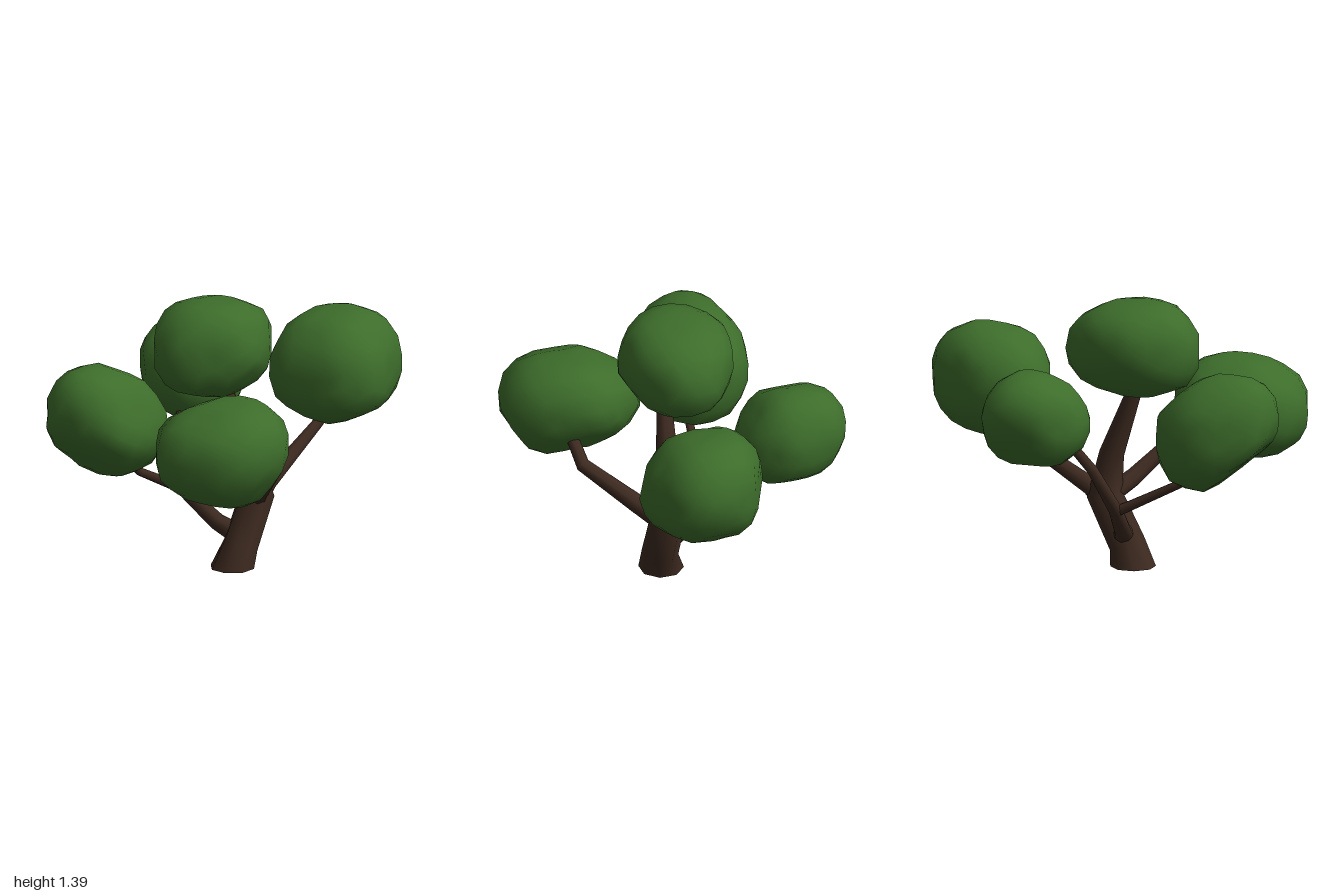
import * as THREE from 'three';
import { mergeVertices } from 'three/addons/utils/BufferGeometryUtils.js';

const V = (x, y, z) => new THREE.Vector3(x, y, z);

// Tapered limb: rings of 8 around a path of [x, y, z, radius], closed at both ends
function limbGeometry(path, levelBase = false) {
  const sides = 8, pos = [], index = [];
  const pts = path.map(([x, y, z]) => V(x, y, z));
  pts.forEach((p, i) => {
    const before = pts[Math.max(i - 1, 0)], after = pts[Math.min(i + 1, pts.length - 1)];
    const t = levelBase && i === 0 ? V(0, 1, 0) : after.clone().sub(before).normalize();
    const u = t.clone().cross(V(0, 0, 1)).normalize();
    const v = t.clone().cross(u);
    for (let s = 0; s < sides; s++) {
      const a = (s + 0.5) / sides * Math.PI * 2;
      const q = p.clone().addScaledVector(u, Math.cos(a) * path[i][3]).addScaledVector(v, Math.sin(a) * path[i][3]);
      pos.push(q.x, q.y, q.z);
    }
  });
  for (let i = 0; i < pts.length - 1; i++) {
    for (let s = 0; s < sides; s++) {
      const a = i * sides + s, b = i * sides + (s + 1) % sides;
      index.push(a, b, a + sides, b, b + sides, a + sides);
    }
  }
  // end caps with their own vertices so the rims stay sharp
  [0, pts.length - 1].forEach((ring, end) => {
    const start = pos.length / 3;
    pos.push(...pos.slice(ring * sides * 3, (ring + 1) * sides * 3));
    for (let s = 1; s < sides - 1; s++) {
      if (end) index.push(start, start + s, start + s + 1);
      else index.push(start, start + s + 1, start + s);
    }
  });
  const g = new THREE.BufferGeometry();
  g.setAttribute('position', new THREE.Float32BufferAttribute(pos, 3));
  g.setIndex(index);
  g.computeVertexNormals();
  return g;
}

// Middle of the outline's points along one of its two axes
function middle(outline, axis) {
  const values = outline.map(p => p[axis]);
  return (Math.min(...values) + Math.max(...values)) / 2;
}

// Distance from (ca, cb) to a convex outline, along the direction (da, db)
function reach(outline, ca, cb, da, db) {
  let r = Infinity;
  outline.forEach(([a, b], i) => {
    const [a2, b2] = outline[(i + 1) % outline.length];
    let na = b2 - b, nb = a - a2, d = na * (a - ca) + nb * (b - cb);
    if (d < 0) { na = -na; nb = -nb; d = -d; }
    const along = na * da + nb * db;
    if (along > 1e-6) r = Math.min(r, d / along);
  });
  return r;
}

// Leaf clump: a ball whose radius blends three outlines, front (x, y), side (z, y) and top (x, z)
function clumpGeometry(front, side, top) {
  const c = V(middle(front, 0), middle(front, 1), middle(side, 0));
  let g = new THREE.IcosahedronGeometry(1, 3);
  g.deleteAttribute('normal');
  g.deleteAttribute('uv');
  g = mergeVertices(g, 1e-4);
  const p = g.attributes.position;
  for (let i = 0; i < p.count; i++) {
    const n = V().fromBufferAttribute(p, i);
    const radii = [
      reach(front, c.x, c.y, n.x, n.y),
      reach(side, c.z, c.y, n.z, n.y),
      reach(top, c.x, c.z, n.x, n.z),
    ];
    const blend = (radii.reduce((sum, r) => sum + r ** -2.5, 0) / 2) ** (-1 / 2.5);
    n.multiplyScalar(Math.min(...radii, blend)).add(c);
    p.setXYZ(i, n.x, n.y, n.z);
  }
  g.computeVertexNormals();
  return g;
}

export function createModel() {
  const tree = new THREE.Group();
  tree.name = 'tree';
  const bark = new THREE.MeshStandardMaterial({ color: 0x3d2a20 });
  bark.name = 'bark brown';
  const leaf = new THREE.MeshStandardMaterial({ color: 0x3d6d2b });
  leaf.name = 'leaf green';

  const add = (name, geometry, material) => {
    const mesh = new THREE.Mesh(geometry, material);
    mesh.name = name;
    tree.add(mesh);
  };
  const addLimb = (name, path, levelBase) => add(name, limbGeometry(path, levelBase), bark);
  const addClump = (name, front, side, top) => add(name, clumpGeometry(front, side, top), leaf);

  // Trunk and branches
  addLimb('trunk', [
    [-0.1, 0, 0.075, 0.114], [-0.06, 0.11, 0.095, 0.092], [0.06, 0.35, 0.1, 0.09],
    [0.015, 0.57, 0.08, 0.063], [-0.12, 0.92, 0.05, 0.038], [-0.14, 1.0, 0.04, 0.034],
  ], true);
  addLimb('leftBranch', [[0.03, 0.31, 0.1, 0.062], [0.14, 0.39, 0.1, 0.046], [0.5, 0.605, 0.1, 0.03], [0.62, 0.7, 0.11, 0.028]]);
  addLimb('frontBranch', [[0.06, 0.33, 0.09, 0.055], [-0.05, 0.42, 0.22, 0.047], [-0.21, 0.6, 0.45, 0.036], [-0.4, 0.71, 0.46, 0.03]]);
  addLimb('backBranch', [[-0.045, 0.15, 0.09, 0.055], [-0.085, 0.21, -0.04, 0.044], [-0.125, 0.36, -0.25, 0.035],
    [-0.04, 0.58, -0.35, 0.027], [0.06, 0.72, -0.4, 0.024]]);
  addLimb('backSideBranch', [[-0.11, 0.35, -0.24, 0.03], [-0.18, 0.38, -0.24, 0.027], [-0.47, 0.525, -0.215, 0.022], [-0.55, 0.6, -0.22, 0.02]]);

  // Leaf clumps
  addClump('topClump',
    [[-0.49, 1.09], [-0.47, 1.23], [-0.34, 1.38], [-0.18, 1.39], [0, 1.37], [0.12, 1.31], [0.21, 1.2], [0.2, 1.06], [0.1, 0.95], [-0.19, 0.89], [-0.42, 0.97]],
    [[0.29, 1.13], [0.21, 1.33], [0.13, 1.38], [0, 1.395], [-0.11, 1.39], [-0.28, 1.32], [-0.32, 1.15], [-0.2, 0.97], [-0.05, 0.89], [0.15, 0.93]],
    [[-0.49, 0], [-0.44, -0.15], [-0.21, -0.32], [0, -0.28], [0.21, -0.1], [0.2, 0.07], [0.03, 0.22], [-0.14, 0.29], [-0.24, 0.26], [-0.45, 0.07]]);
  addClump('frontClump',
    [[-0.92, 0.8], [-0.85, 0.92], [-0.64, 1.02], [-0.39, 1.045], [-0.25, 0.99], [-0.21, 0.81], [-0.28, 0.72], [-0.46, 0.54], [-0.58, 0.51], [-0.79, 0.57], [-0.87, 0.64]],
    [[0.78, 0.79], [0.71, 0.95], [0.59, 1.03], [0.46, 1.05], [0.3, 1.02], [0.08, 0.9], [0.02, 0.75], [0.16, 0.6], [0.36, 0.53], [0.6, 0.51]],
    [[-0.92, 0.38], [-0.83, 0.2], [-0.53, 0.02], [-0.4, 0.07], [-0.21, 0.34], [-0.24, 0.43], [-0.34, 0.67], [-0.49, 0.77], [-0.72, 0.73], [-0.83, 0.61]]);
  addClump('backSideClump',
    [[-1, 0.88], [-0.97, 1.07], [-0.86, 1.135], [-0.65, 1.115], [-0.54, 1.05], [-0.38, 0.9], [-0.36, 0.7], [-0.4, 0.56], [-0.45, 0.52], [-0.64, 0.51], [-0.91, 0.74]],
    [[0.03, 0.8], [0, 0.7], [-0.1, 0.59], [-0.26, 0.51], [-0.4, 0.525], [-0.5, 0.59], [-0.57, 0.75], [-0.54, 0.95], [-0.43, 1.08], [-0.31, 1.13], [-0.1, 1.05]],
    [[-1, -0.28], [-0.93, -0.44], [-0.68, -0.575], [-0.49, -0.53], [-0.4, -0.43], [-0.36, -0.21], [-0.45, -0.02], [-0.64, 0.03], [-0.86, 0.01], [-0.96, -0.16]]);
  addClump('backClump',
    [[-0.05, 0.85], [0.02, 1], [0.19, 1.09], [0.29, 1.11], [0.42, 1.03], [0.49, 0.88], [0.45, 0.7], [0.27, 0.59], [0.12, 0.6], [-0.02, 0.72]],
    [[-0.2, 0.78], [-0.21, 0.71], [-0.29, 0.605], [-0.36, 0.59], [-0.62, 0.65], [-0.71, 0.77], [-0.78, 0.945], [-0.7, 1.07], [-0.55, 1.115], [-0.39, 1.09], [-0.25, 0.91]],
    [[-0.05, -0.37], [-0.04, -0.55], [0.11, -0.735], [0.34, -0.78], [0.43, -0.71], [0.49, -0.435], [0.37, -0.265], [0.16, -0.195], [0, -0.32]]);
  addClump('leftClump',
    [[0.33, 0.83], [0.36, 0.99], [0.5, 1.14], [0.75, 1.19], [0.92, 1.11], [1, 0.95], [0.92, 0.76], [0.81, 0.66], [0.58, 0.59], [0.36, 0.7]],
    [[0.44, 0.84], [0.4, 0.99], [0.26, 1.16], [0.08, 1.195], [-0.07, 1.17], [-0.17, 1.05], [-0.2, 0.88], [-0.15, 0.73], [-0.06, 0.65], [0.14, 0.59], [0.4, 0.72]],
    [[0.33, 0.04], [0.38, -0.14], [0.56, -0.2], [0.65, -0.2], [0.9, -0.07], [1, 0.14], [0.92, 0.32], [0.59, 0.44], [0.425, 0.31]]);
  return tree;
}
